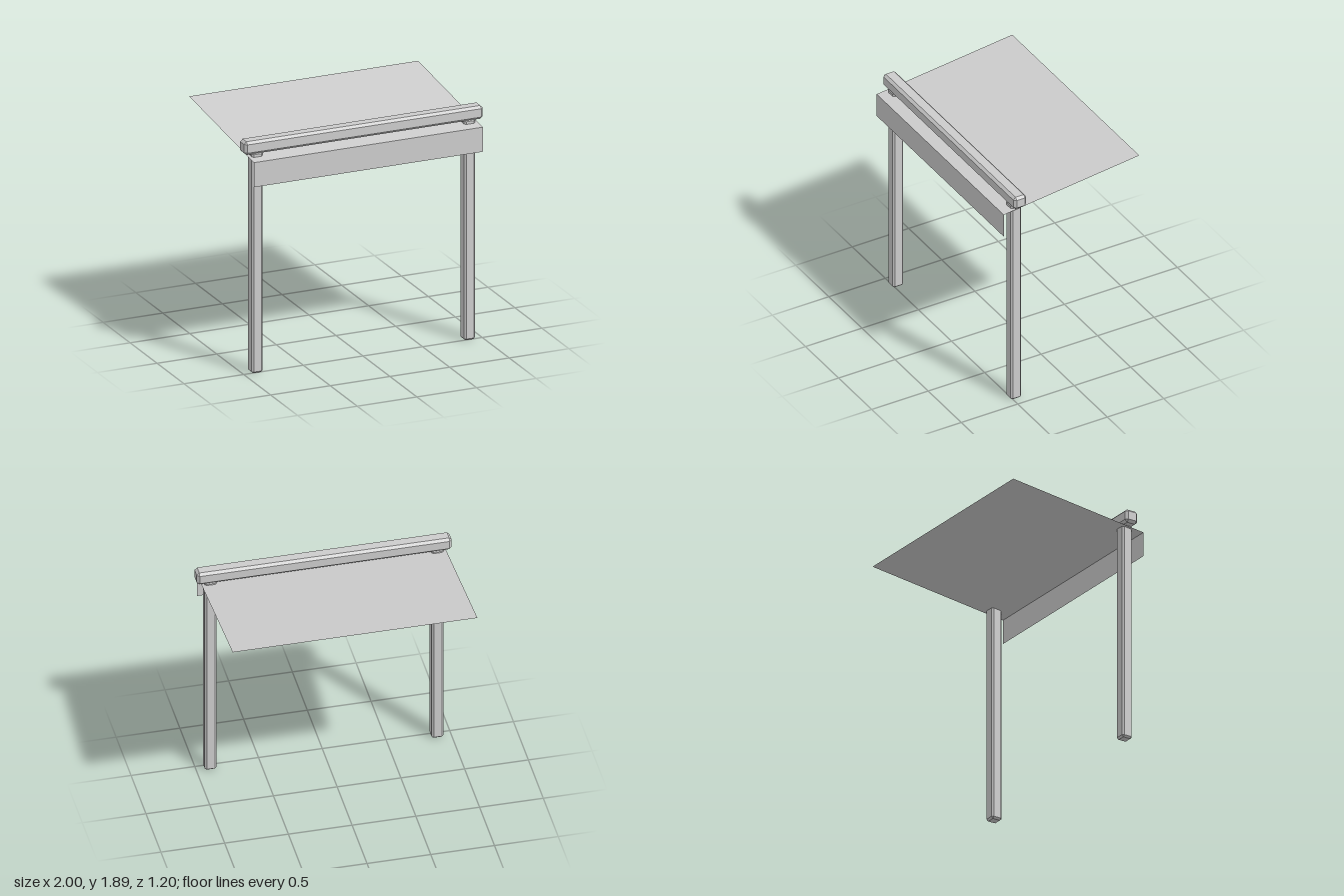
import * as THREE from 'three';
import { ConvexGeometry } from 'three/addons/geometries/ConvexGeometry.js';

// Box with flat chamfers on every edge
function chamferBox(w, h, d, c) {
  const points = [];
  for (const sx of [-1, 1]) for (const sy of [-1, 1]) for (const sz of [-1, 1]) {
    const x = sx * w / 2, y = sy * h / 2, z = sz * d / 2;
    points.push(
      new THREE.Vector3(x, y - sy * c, z - sz * c),
      new THREE.Vector3(x - sx * c, y, z - sz * c),
      new THREE.Vector3(x - sx * c, y - sy * c, z)
    );
  }
  return new ConvexGeometry(points);
}

export function createModel() {
  const group = new THREE.Group();
  const gray = new THREE.MeshStandardMaterial({ color: 0xcccccc, flatShading: true });
  gray.name = 'plain gray';
  const sheet = new THREE.MeshStandardMaterial({ color: 0xcccccc, side: THREE.DoubleSide });
  sheet.name = 'canopy gray';

  function add(name, geometry, material, x, y, z) {
    const mesh = new THREE.Mesh(geometry, material);
    mesh.name = name;
    mesh.position.set(x, y, z);
    group.add(mesh);
    return mesh;
  }

  const postZ = 0.472;

  // Two posts, reaching through the canopy to the beam
  const postGeometry = chamferBox(0.092, 1.795, 0.092, 0.014);
  add('leftPost', postGeometry, gray, 0.89, 0.8975, postZ);
  add('rightPost', postGeometry, gray, -0.89, 0.8975, postZ);

  // Cross beam
  add('beam', chamferBox(2, 0.108, 0.112, 0.02), gray, 0, 1.839, postZ);

  // Canopy sheet, rising gently to the back
  const width = 1.92, depth = 1.2, frontY = 1.75, backY = 1.89;
  const rise = backY - frontY;
  const canopy = add('canopy', new THREE.PlaneGeometry(width, Math.hypot(depth, rise)), sheet,
    0, (frontY + backY) / 2, 0);
  canopy.rotation.x = -Math.PI / 2 + Math.atan2(rise, depth);

  // Valance hanging from the front edge
  add('valance', new THREE.PlaneGeometry(width, 0.2), sheet, 0, frontY - 0.1, depth / 2);

  return group;
}
